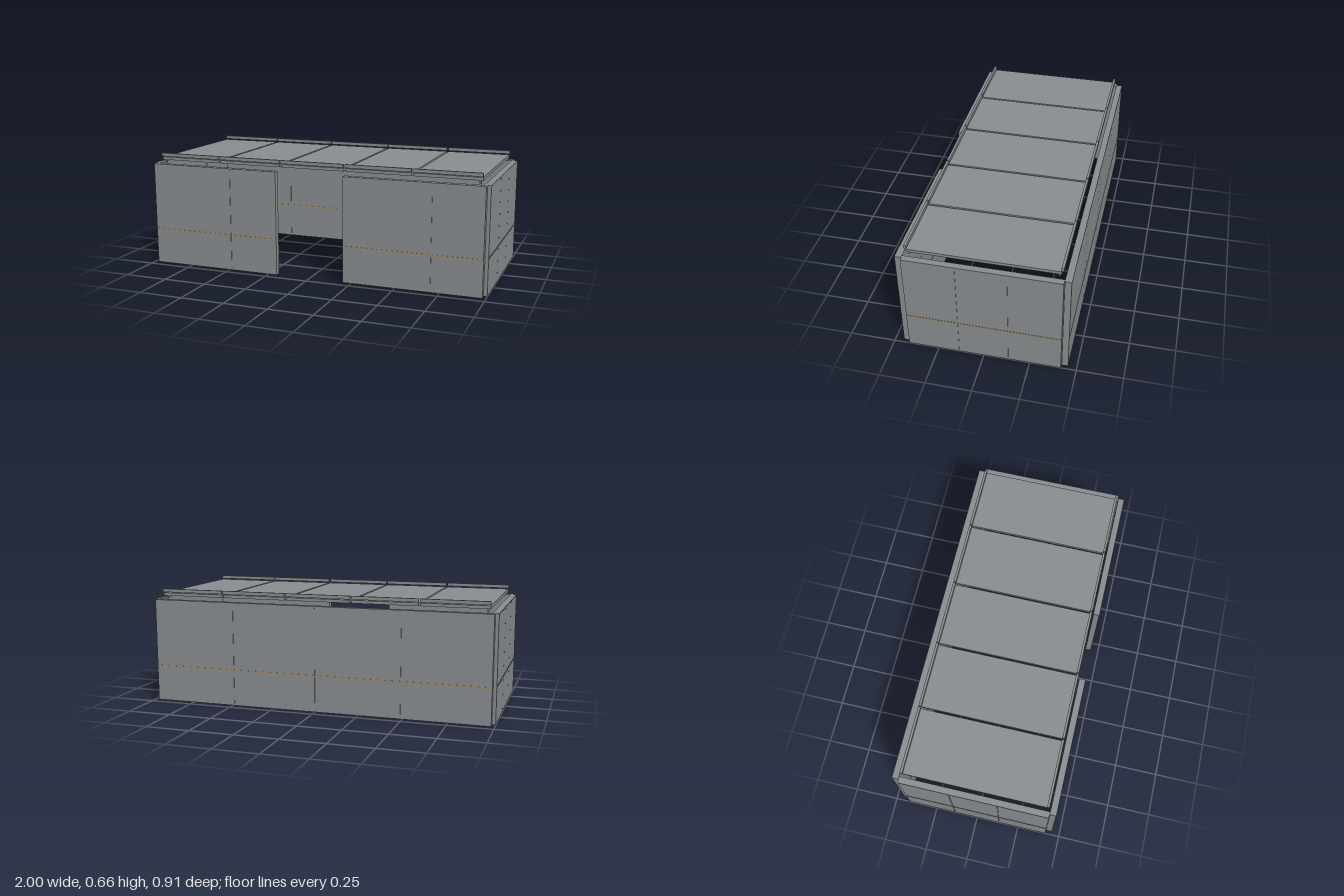
import * as THREE from 'three';

const mat = (name, color) => Object.assign(new THREE.MeshStandardMaterial({ color }), { name });

export function createModel() {
  const model = new THREE.Group();
  model.name = 'panelShelter';
  const panelGrey = mat('panelGrey', 0x898d90);
  const trimTan = mat('trimTan', 0x9c8a68);

  // Box given by its lower and upper limits on each axis
  const box = (parent, name, material, x0, x1, y0, y1, z0, z1) => {
    const m = new THREE.Mesh(new THREE.BoxGeometry(x1 - x0, y1 - y0, z1 - z0), material);
    m.position.set((x0 + x1) / 2, (y0 + y1) / 2, (z0 + z1) / 2);
    m.name = name;
    parent.add(m);
  };

  // Wall built along local x: a core faced with panels, with narrow joints between them
  const T = 0.034, H = 0.592, SKIN = 0.003, JOINT = 0.001;
  const wall = (name, a, b, seams) => {
    const g = new THREE.Group();
    g.name = name;
    const core = T / 2 - SKIN;
    box(g, 'wallCore', panelGrey, a, b, 0.012, H, -core, core);
    box(g, 'basePlinth', panelGrey, a, b, 0, 0.012, -T / 2, T / 2);
    box(g, 'topCap', panelGrey, a, b, H, 0.597, -T / 2 - 0.001, T / 2 + 0.001);
    const stops = [a, ...seams, b];
    for (const s of [-1, 1]) {
      const [z0, z1] = s > 0 ? [core, T / 2] : [-T / 2, -core];
      for (let i = 0; i + 1 < stops.length; i++) {
        const x0 = stops[i] + (i > 0 ? JOINT : 0);
        const x1 = stops[i + 1] - (i + 2 < stops.length ? JOINT : 0);
        box(g, 'wallPanel', panelGrey, x0, x1, 0.012, H, z0, z1);
      }
      const z = s * T / 2;
      box(g, 'trimStrip', trimTan, a, b, 0.2025, 0.2105, z - 0.0015, z + 0.0015);
    }
    model.add(g);
    return g;
  };

  // Long walls, the front one split by the entrance
  const zWall = 0.436, xWall = 0.982;
  wall('frontWallRight', -0.98, -0.2, [-0.485]).position.z = zWall;
  wall('frontWallLeft', 0.2, 0.98, [0.7]).position.z = zWall;
  const back = wall('backWall', -0.98, 0.98, [-0.49, 0, 0.49]);
  back.position.z = -zWall;
  back.rotation.y = Math.PI;

  // End walls
  for (const s of [-1, 1]) {
    const end = wall(s > 0 ? 'leftEndWall' : 'rightEndWall', -0.417, 0.417, [-0.135, 0.135]);
    end.position.x = s * xWall;
    end.rotation.y = s * Math.PI / 2;
  }

  // Five raised roof panels with an edge bar at front and back
  const roof = new THREE.Group();
  roof.name = 'roof';
  model.add(roof);
  for (let i = -2; i <= 2; i++) {
    const c = i * 0.383, w = 0.186;
    box(roof, 'roofPanel', panelGrey, c - w, c + w, 0.615, 0.632, -0.399, 0.399);
    for (const s of [-1, 1]) {
      box(roof, 'roofEdgeBar', panelGrey, c - w - 0.002, c + w + 0.002, 0.637, 0.656,
        s * 0.403 - 0.007, s * 0.403 + 0.007);
    }
  }

  // Thin tie rods below the panels and short corner posts
  for (const s of [-1, 1]) {
    box(roof, 'tieRod', panelGrey, -0.94, 0.94, 0.611, 0.615, s * 0.333 - 0.003, s * 0.333 + 0.003);
    for (const t of [-1, 1]) {
      box(roof, 'cornerPost', panelGrey, t * 0.937 - 0.006, t * 0.937 + 0.006, 0.597, 0.61,
        s * 0.386 - 0.006, s * 0.386 + 0.006);
    }
  }
  return model;
}
